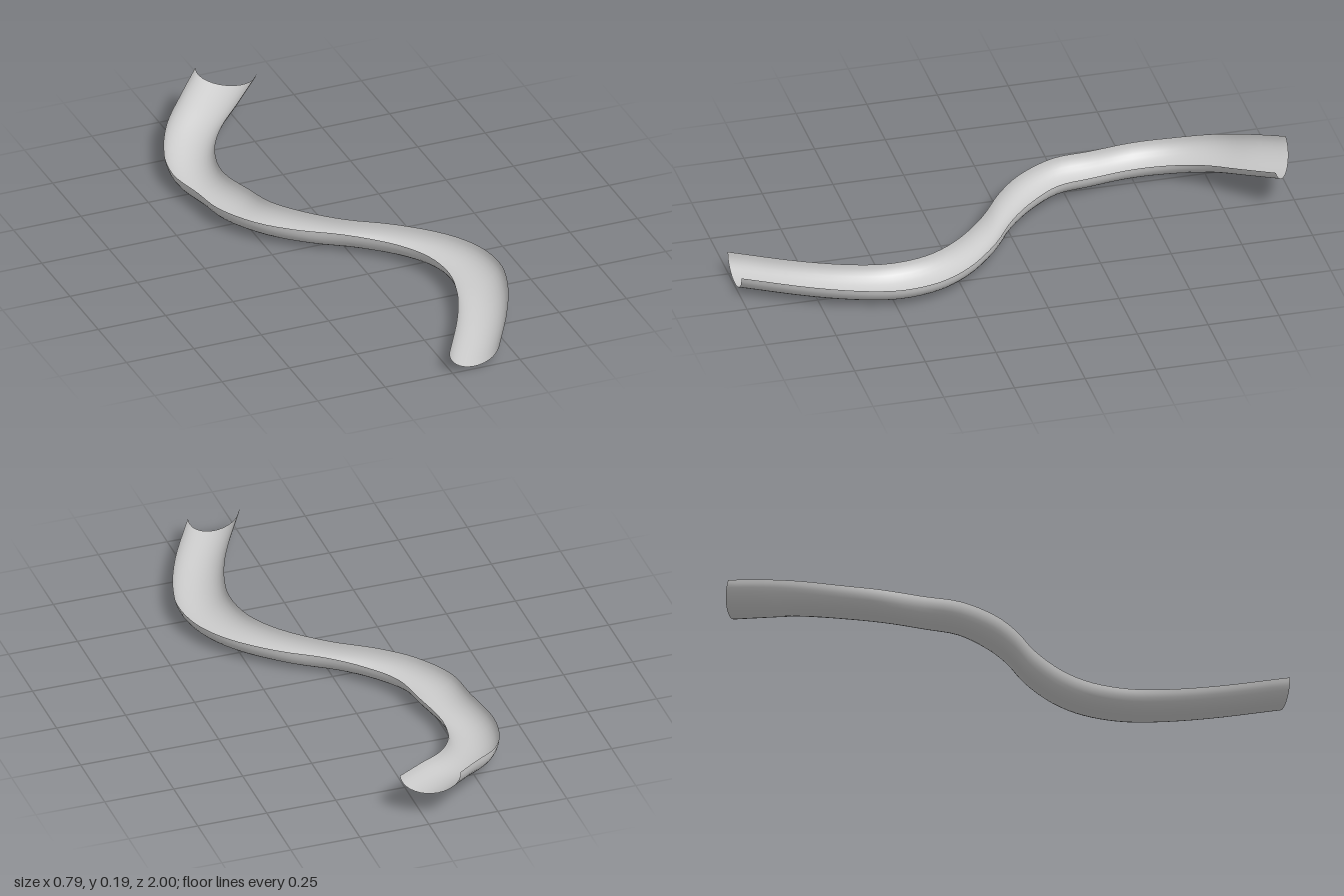
import * as THREE from 'three';

// Stations from front to back: left-hand rim x, y, z, then right-hand rim x, y, z
const STATIONS = [
  [-0.012, 0.086, 1, 0.175, 0.086, 1],
  [0.115, 0.086, 0.77, 0.302, 0.086, 0.77],
  [0.183, 0.086, 0.6, 0.37, 0.086, 0.6],
  [0.205, 0.086, 0.48, 0.392, 0.086, 0.48],
  [0.185, 0.086, 0.35, 0.371, 0.086, 0.35],
  [0.115, 0.086, 0.23, 0.302, 0.086, 0.23],
  [-0.02, 0.086, 0.1, 0.166, 0.086, 0.1],
  [-0.165, 0.086, 0, 0.02, 0.086, 0],
  [-0.27, 0.086, -0.1, -0.085, 0.086, -0.1],
  [-0.35, 0.086, -0.24, -0.165, 0.085, -0.21],
  [-0.37, 0.082, -0.37, -0.196, 0.079, -0.33],
  [-0.396, 0.079, -0.53, -0.228, 0.073, -0.49],
  [-0.375, 0.09, -0.66, -0.205, 0.083, -0.615],
  [-0.31, 0.122, -0.79, -0.14, 0.105, -0.72],
  [-0.21, 0.162, -0.9, -0.04, 0.134, -0.81],
  [-0.115, 0.193, -1, 0.075, 0.167, -0.915],
];
const DEPTH = 0.07;

// Smooth curve through one rim
const rimCurve = (offset) => new THREE.CatmullRomCurve3(
  STATIONS.map((s) => new THREE.Vector3(s[offset], s[offset + 1], s[offset + 2])));

// Half-elliptical trough hung between the two rims
function troughGeometry(along, around) {
  const rimA = rimCurve(0), rimB = rimCurve(3);
  const positions = [], index = [];
  for (let i = 0; i <= along; i++) {
    const t = i / along;
    const a = rimA.getPoint(t), b = rimB.getPoint(t);
    const centre = a.clone().add(b).multiplyScalar(0.5);
    const half = b.clone().sub(a).multiplyScalar(0.5);
    const tangent = rimA.getTangent(t).add(rimB.getTangent(t));
    const down = tangent.cross(half).normalize().multiplyScalar(DEPTH);
    for (let j = 0; j <= around; j++) {
      const angle = Math.PI * j / around;
      const p = centre.clone()
        .addScaledVector(half, -Math.cos(angle))
        .addScaledVector(down, Math.sin(angle));
      positions.push(p.x, p.y, p.z);
      if (i < along && j < around) {
        const k = i * (around + 1) + j, n = k + around + 1;
        index.push(k, k + 1, n, k + 1, n + 1, n);
      }
    }
  }
  const geometry = new THREE.BufferGeometry();
  geometry.setAttribute('position', new THREE.Float32BufferAttribute(positions, 3));
  geometry.setIndex(index);
  geometry.computeVertexNormals();
  return geometry;
}

export function createModel() {
  const group = new THREE.Group();
  group.name = 'windingChute';
  const material = new THREE.MeshStandardMaterial({ color: 0xcccccc, side: THREE.DoubleSide });
  const trough = new THREE.Mesh(troughGeometry(60, 16), material);
  trough.name = 'trough';
  group.add(trough);
  return group;
}
